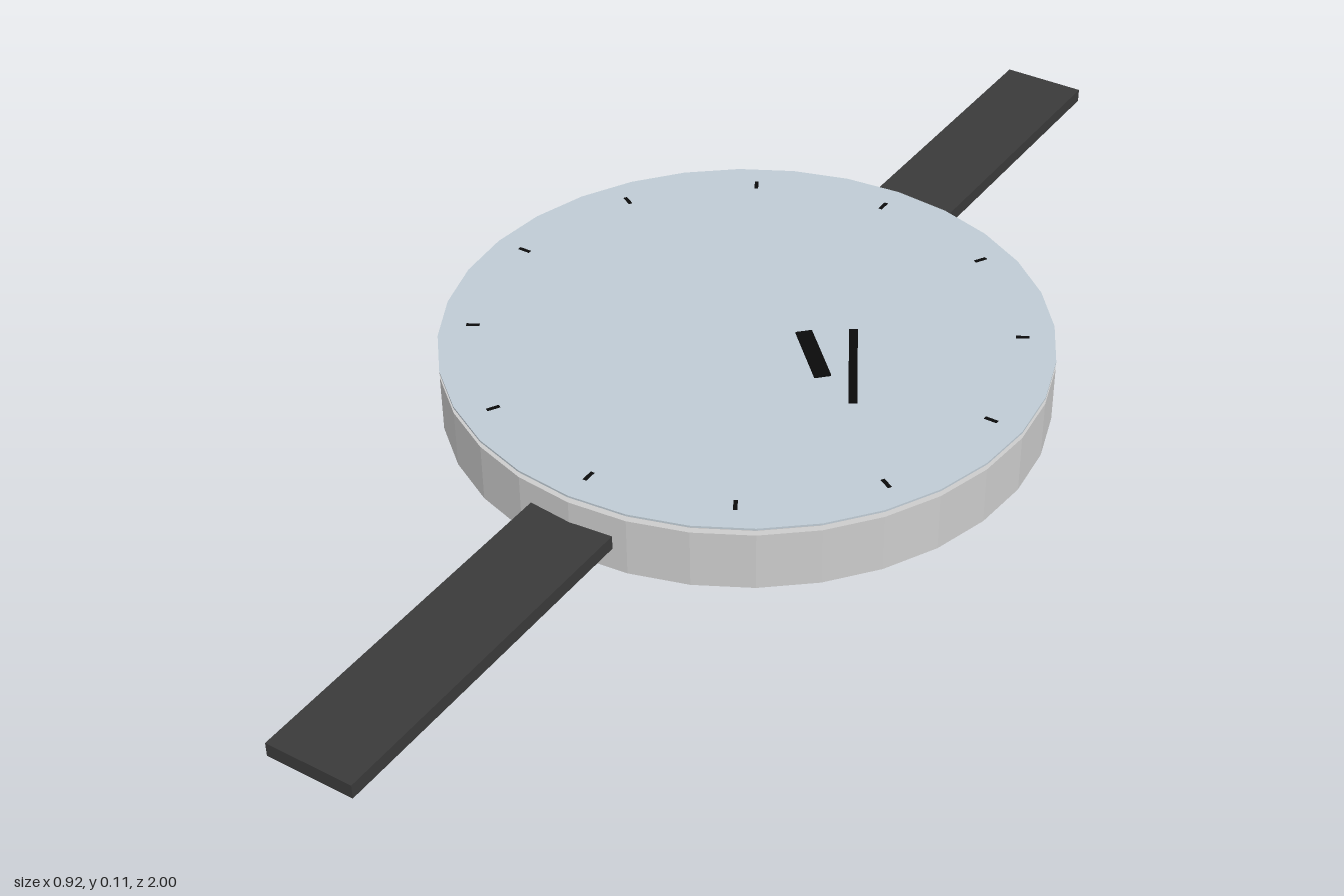
import * as THREE from 'three';

const material = (color) => new THREE.MeshStandardMaterial({ color, flatShading: true });

export function createModel() {
  const model = new THREE.Group();
  const grey = material(0xcccccc);
  const black = material(0x0a0a0a);
  const leather = material(0x3a3a3a);
  const centreZ = -0.01;

  function add(name, geometry, mat, x, y, z) {
    const mesh = new THREE.Mesh(geometry, mat);
    mesh.name = name;
    mesh.position.set(x, y, z);
    model.add(mesh);
    return mesh;
  }
  // Faceted disc between two heights
  const disc = (name, radius, y0, y1, mat) =>
    add(name, new THREE.CylinderGeometry(radius, radius, y1 - y0, 32), mat, 0, (y0 + y1) / 2, centreZ);

  // Case, dial and cover glass
  disc('case', 0.46, 0, 0.093, grey);
  disc('dial', 0.45, 0.093, 0.1, grey);
  disc('glass', 0.46, 0.102, 0.105, material(0xbfcbd4));

  // Strap halves, running into the case
  for (const side of [1, -1]) {
    add(side > 0 ? 'frontStrap' : 'backStrap',
      new THREE.BoxGeometry(0.137, 0.022, 0.6), leather, -0.001, 0.047, side * 0.7);
  }

  // Hour marks around the edge of the dial
  for (let i = 0; i < 12; i++) {
    const a = (i * Math.PI) / 6;
    const mark = add('hourMark', new THREE.BoxGeometry(0.006, 0.004, 0.02), black,
      0.41 * Math.sin(a), 0.1036, centreZ + 0.41 * Math.cos(a));
    mark.rotation.y = a;
  }

  // Hands, lying off-centre above the glass
  const hourHand = add('hourHand', new THREE.BoxGeometry(0.115, 0.003, 0.025), black, 0.115, 0.1075, -0.01);
  hourHand.rotation.y = -Math.PI / 4;
  const minuteHand = add('minuteHand', new THREE.BoxGeometry(0.18, 0.003, 0.013), black, 0.183, 0.1125, -0.01);
  minuteHand.rotation.y = -Math.PI / 3;

  return model;
}
